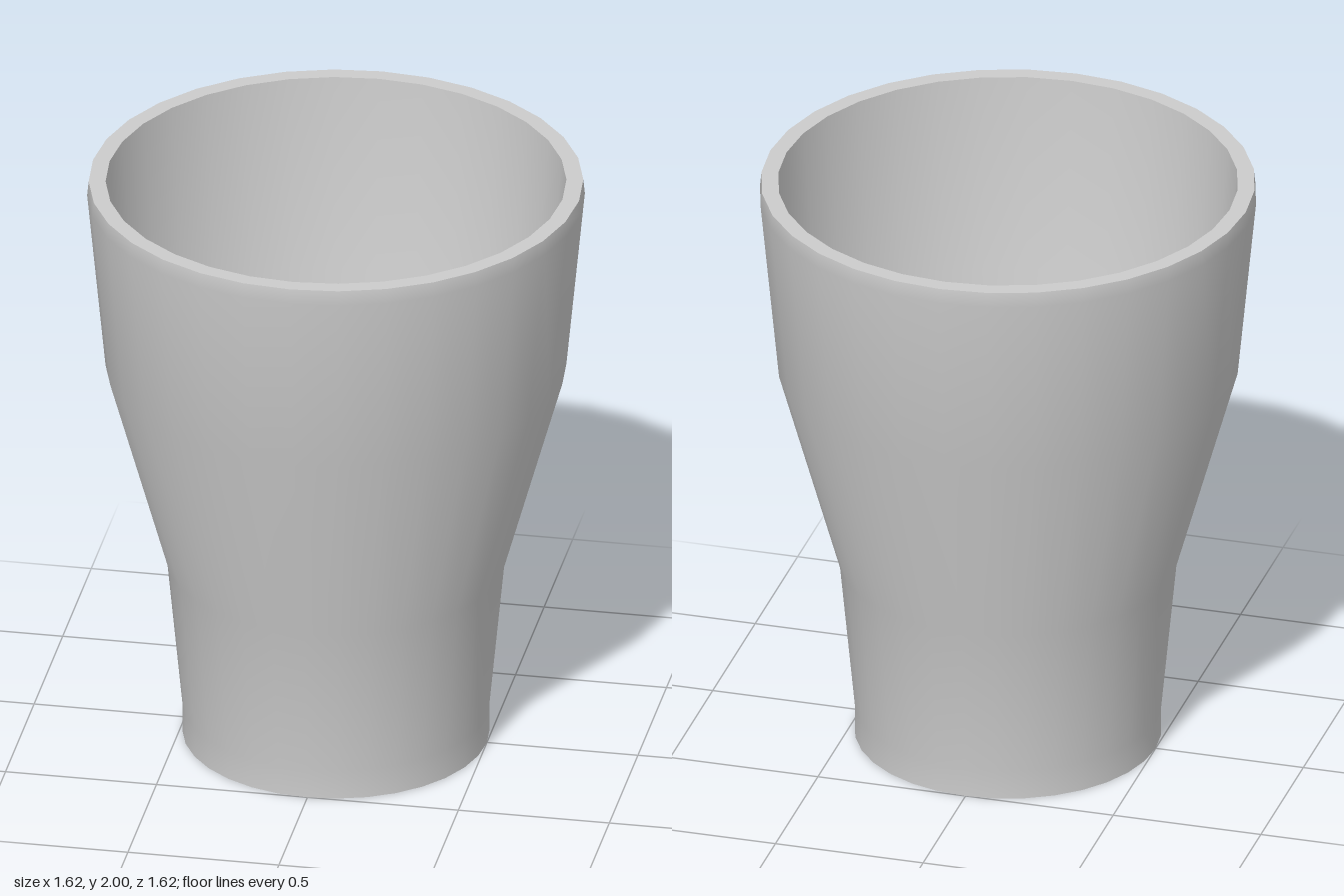
import * as THREE from 'three';

const SIDES = 32;

// Profiles as [radius, height], ordered so that the faces point out of the solid
const OUTER = [[0.5, 0], [0.5, 0.1], [0.55, 0.62], [0.75, 1.33], [0.81, 1.95], [0.805, 2]];
const INNER = [[0.75, 2], [0.695, 1.33], [0.505, 0.62], [0.47, 0.1]];

export function createModel() {
  const cup = new THREE.Group();
  cup.name = 'cup';
  const material = new THREE.MeshStandardMaterial({ color: 0xcccccc });

  const turn = (name, profile) => {
    const points = profile.map(([r, y]) => new THREE.Vector2(r, y));
    const mesh = new THREE.Mesh(new THREE.LatheGeometry(points, SIDES), material);
    mesh.name = name;
    cup.add(mesh);
  };

  // Separate surfaces keep the edges of base, rim and floor sharp
  turn('base', [[0, 0], OUTER[0]]);
  turn('outerWall', OUTER);
  turn('rim', [OUTER.at(-1), INNER[0]]);
  turn('innerWall', INNER);
  turn('floor', [INNER.at(-1), [0, INNER.at(-1)[1]]]);

  return cup;
}
